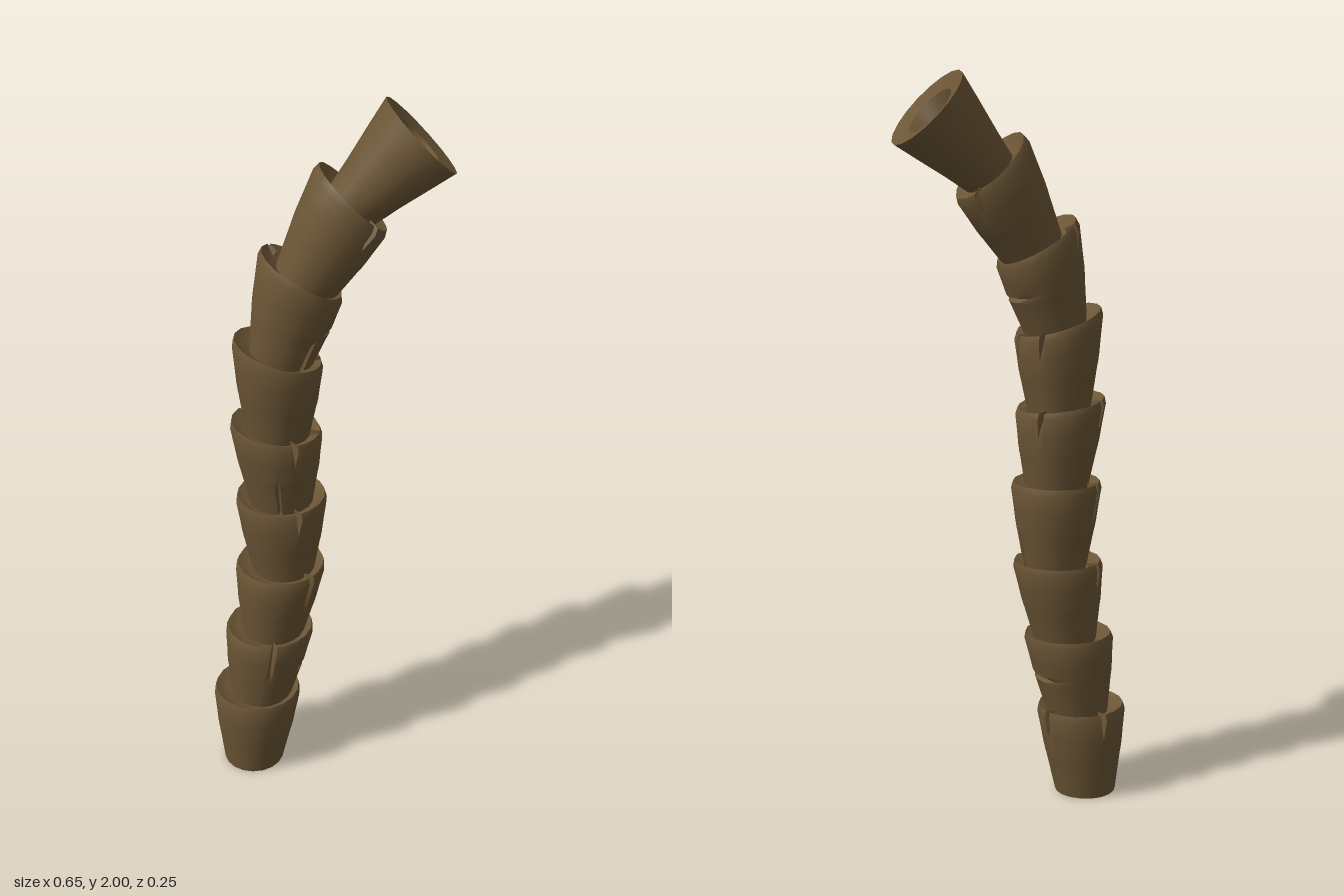
import * as THREE from 'three';
import { toCreasedNormals } from 'three/addons/utils/BufferGeometryUtils.js';

const SIDES = 18;
const rad = THREE.MathUtils.degToRad;
const lerp = THREE.MathUtils.lerp;

// Profile rows [fraction of height, radius]: flared bark, bevelled rim, sunken cup
const barkRows = [[0, 0], [0, 0.085], [0.2, 0.094], [0.42, 0.104], [0.47, 0.107], [0.5, 0.108],
  [0.54, 0.11], [0.7, 0.115], [0.92, 0.123], [1, 0.118], [0.93, 0.09], [0.9, 0]];
const crownRows = [[0, 0], [0, 0.075], [0.3, 0.089], [0.7, 0.111], [1, 0.127], [0.95, 0.075], [0.78, 0.05], [0.74, 0]];

// Each segment: bottom and top ring as [x, y, lean in degrees];
// splits as [angle in degrees, height where it closes, height where it is deepest]
const segments = [
  { from: [-0.215, 0, 0], to: [-0.2, 0.257, 1], splits: [[-17, 0.65, 1], [261, 0.75, 1]] },
  { from: [-0.19, 0.235, 4], to: [-0.16, 0.472, 0], splits: [[92, 0.45, 1]], gash: true },
  { from: [-0.152, 0.45, 3], to: [-0.127, 0.683, 0], splits: [[53, 0.45, 1], [228, 0.7, 1]] },
  { from: [-0.12, 0.66, 0], to: [-0.123, 0.905, 0], splits: [[75, 0.7, 1], [0, 0.45, 0.1], [225, 0.5, 1]] },
  { from: [-0.123, 0.885, 0], to: [-0.135, 1.122, 8],
    splits: [[73, 0.65, 1], [100, 0.5, 0.1], [17, 0.85, 1], [-42, 0.75, 1], [225, 0.75, 1]] },
  { from: [-0.13, 1.1, 5], to: [-0.127, 1.345, 18], splits: [[0, 0.7, 1], [-45, 0.75, 1]] },
  { from: [-0.118, 1.325, 12], to: [-0.063, 1.562, 31], splits: [[60, 0.45, 0.1], [225, 0.65, 1]], gash: true },
  { from: [-0.055, 1.53, 28], to: [0.067, 1.757, 45], splits: [[62, 0.7, 1], [5, 0.45, 0.15], [-40, 0.75, 1]] },
  { from: [0.068, 1.737, 40], to: [0.236, 1.907, 47], splits: [], crown: true },
];

// Loft one flared segment between two leaning rings, cutting the splits into its bark
function segmentGeometry({ from, to, splits, gash, crown }) {
  const rows = crown ? crownRows : barkRows;
  const halfWidth = 0.07;
  const cuts = splits.map(([deg, close, deep]) => ({ a: (rad(deg) + Math.PI * 2) % (Math.PI * 2), close, deep }));

  // Regular angles, plus three for each split
  let angles = Array.from({ length: SIDES }, (_, i) => (i / SIDES) * Math.PI * 2);
  angles = angles.filter((a) => !cuts.some((c) => {
    const d = Math.abs(a - c.a);
    return Math.min(d, Math.PI * 2 - d) < halfWidth * 1.5;
  }));
  for (const c of cuts) {
    for (const k of [-1, 0, 1]) angles.push((c.a + k * halfWidth + Math.PI * 2) % (Math.PI * 2));
  }
  angles.sort((a, b) => a - b);

  const positions = [];
  rows.forEach(([t, radius], j) => {
    const cx = lerp(from[0], to[0], t);
    const cy = lerp(from[1], to[1], t);
    const lean = rad(lerp(from[2], to[2], t));
    const isBark = j > 0 && j < rows.length - 2;
    for (const a of angles) {
      let r = radius;
      if (isBark) {
        for (const c of cuts) {
          if (Math.abs(a - c.a) < 1e-6) {
            r *= 1 - 0.24 * THREE.MathUtils.clamp((t - c.close) / (c.deep - c.close), 0, 1);
          }
        }
        // Horizontal gash on the side the trunk leans towards
        const off = Math.min(a, Math.PI * 2 - a);
        if (gash && t === 0.5 && off < 0.8) r *= 1 - 0.22 * (1 - off / 0.8);
      }
      const u = r * Math.cos(a);
      positions.push(cx + u * Math.cos(lean), cy - u * Math.sin(lean), r * Math.sin(a));
    }
  });

  const n = angles.length;
  const index = [];
  for (let j = 0; j < rows.length - 1; j++) {
    for (let i = 0; i < n; i++) {
      const a = j * n + i;
      const b = j * n + ((i + 1) % n);
      if (rows[j][1] > 0) index.push(a, a + n, b);
      if (rows[j + 1][1] > 0) index.push(b, a + n, b + n);
    }
  }
  const geometry = new THREE.BufferGeometry();
  geometry.setAttribute('position', new THREE.Float32BufferAttribute(positions, 3));
  geometry.setIndex(index);
  return toCreasedNormals(geometry, rad(35));
}

export function createModel() {
  const model = new THREE.Group();
  model.name = 'palmTrunk';
  const bark = new THREE.MeshStandardMaterial({ color: 0x6b5535 });

  // Stacked trunk segments, from the ground to the crown
  segments.forEach((segment, i) => {
    const mesh = new THREE.Mesh(segmentGeometry(segment), bark);
    mesh.name = segment.crown ? 'crownSegment' : `trunkSegment${i + 1}`;
    model.add(mesh);
  });
  return model;
}
